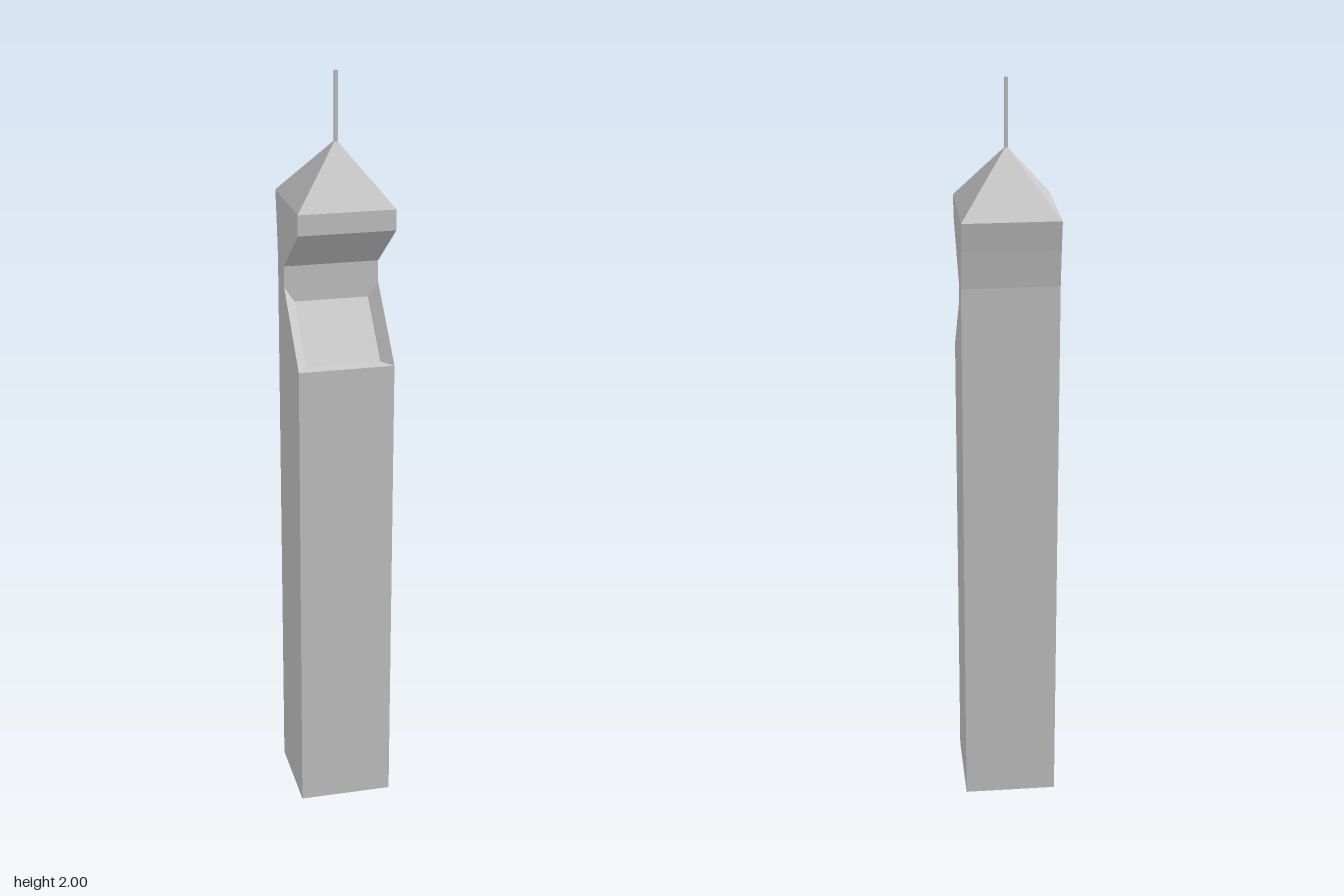
import * as THREE from 'three';

const W = 0.125;       // half width of the tower
const PANEL_W = 0.098; // half width of the recessed panel
const EAVES = 1.675;

// Side outline as [z, y], counter-clockwise from the bottom back corner
const PROFILE = [
  [-0.112, 0], [0.137, 0], [0.137, 1.267], [-0.037, 1.441], [-0.037, 1.497],
  [0.137, 1.622], [0.137, EAVES], [-0.136, EAVES], [-0.124, 1.6], [-0.112, 1.5],
];
const SLOPE = 2; // edge carrying the recessed panel
const TOP = 6;   // edge covered by the roof

const at = (x, [z, y]) => [x, y, z];

// Rectangle across the width between two profile points
const band = (w, p, q) => [at(-w, p), at(w, p), at(w, q), at(-w, q)];

// Flat-faced geometry from triangles and quads
function faces(list) {
  const pos = [];
  for (const f of list)
    for (let i = 1; i < f.length - 1; i++) pos.push(...f[0], ...f[i], ...f[i + 1]);
  const g = new THREE.BufferGeometry();
  g.setAttribute('position', new THREE.Float32BufferAttribute(pos, 3));
  g.computeVertexNormals();
  return g;
}

export function createModel() {
  const group = new THREE.Group();
  const material = new THREE.MeshStandardMaterial({ color: 0xcccccc, flatShading: true });
  const add = (name, geometry) => {
    const mesh = new THREE.Mesh(geometry, material);
    mesh.name = name;
    group.add(mesh);
    return mesh;
  };

  // Tower body: bands around the outline and two flat sides
  const body = [];
  PROFILE.forEach((p, i) => {
    if (i !== SLOPE && i !== TOP) body.push(band(W, p, PROFILE[(i + 1) % PROFILE.length]));
  });
  const outline = PROFILE.map(([z, y]) => new THREE.Vector2(z, y));
  for (const [a, b, c] of THREE.ShapeUtils.triangulateShape(outline, [])) {
    body.push([a, b, c].map((i) => at(-W, PROFILE[i])));
    body.push([c, b, a].map((i) => at(W, PROFILE[i])));
  }
  add('towerBody', faces(body));

  // Sunken panel on the slope with bevelled surround
  const outer = band(W, PROFILE[SLOPE], PROFILE[SLOPE + 1]);
  const inner = band(PANEL_W, [0.097, 1.267], [-0.037, 1.401]);
  add('panelSurround', faces(outer.map((p, i) => {
    const j = (i + 1) % 4;
    return [p, outer[j], inner[j], inner[i]];
  })));
  add('slopedPanel', faces([inner]));

  // Pyramid roof
  const apex = [0, 1.83, 0.011];
  const eaves = [[-W, EAVES, 0.137], [W, EAVES, 0.137], [W, EAVES, -0.136], [-W, EAVES, -0.136]];
  add('roof', faces(eaves.map((p, i) => [p, eaves[(i + 1) % 4], apex])));

  // Square mast on the apex
  add('mast', new THREE.BoxGeometry(0.009, 0.18, 0.009)).position.set(0, 1.91, 0.011);

  return group;
}
